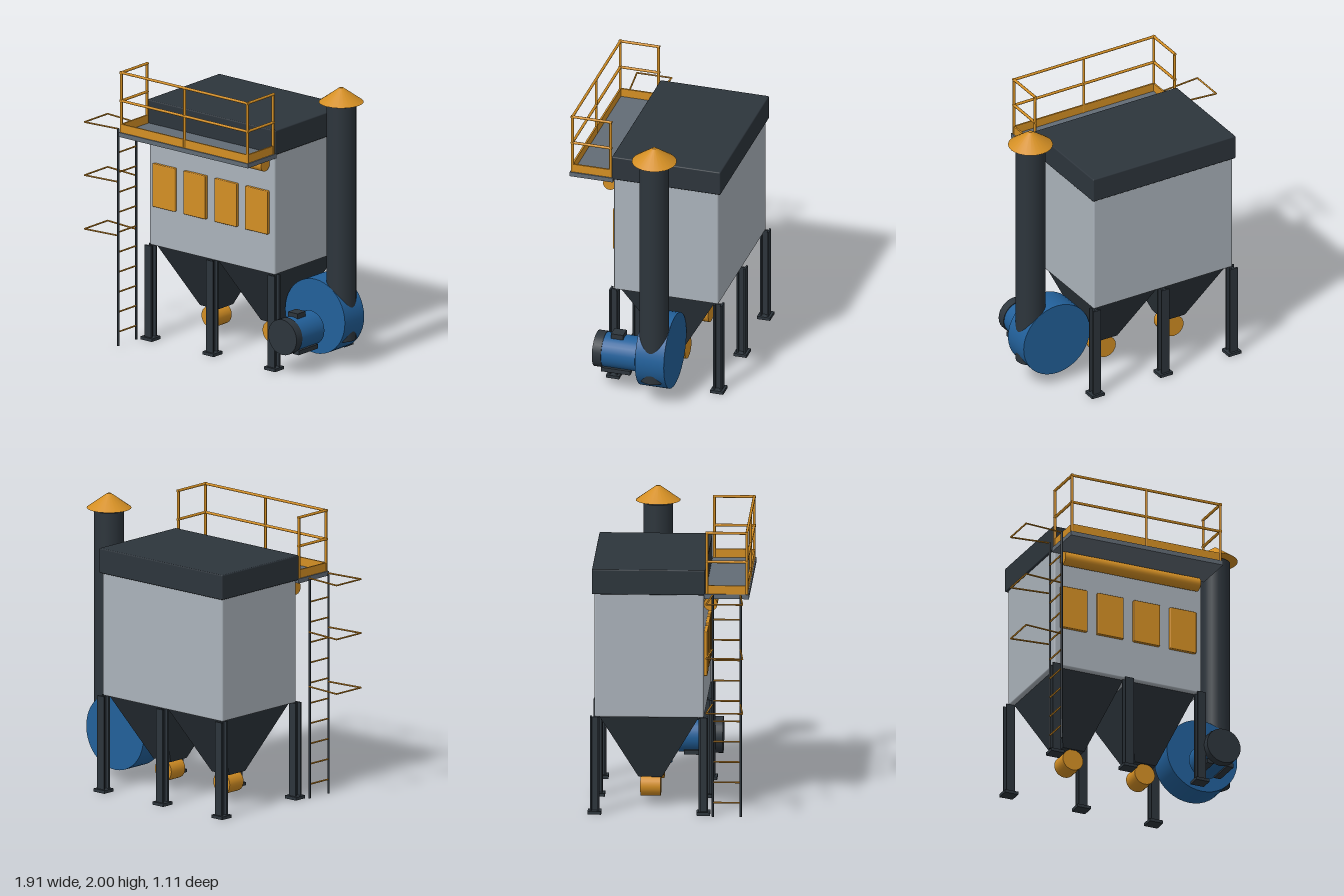
import * as THREE from 'three';
import { RoundedBoxGeometry } from 'three/addons/geometries/RoundedBoxGeometry.js';

const mat = (name, color) => Object.assign(new THREE.MeshStandardMaterial({ color }), { name });

export function createModel() {
  const steel = mat('dark steel', 0x2d353c);
  const panel = mat('light grey panel', 0xabb3bb);
  const orange = mat('safety orange', 0xd48f24);
  const blue = mat('machine blue', 0x22609a);
  const deck = mat('deck grey', 0x626c76);

  const model = new THREE.Group();
  model.name = 'dustCollector';
  const CX = -0.045, CZ = -0.135; // centre of the housing

  const add = (name, geometry, material, x = 0, y = 0, z = 0, parent = model) => {
    const m = new THREE.Mesh(geometry, material);
    m.name = name;
    m.position.set(x, y, z);
    parent.add(m);
    return m;
  };
  // Box given by its limits on each axis
  const box = (name, material, [x0, x1], [y0, y1], [z0, z1], bevel = 0, parent = model) => {
    const s = [x1 - x0, y1 - y0, z1 - z0];
    const g = bevel ? new RoundedBoxGeometry(...s, 2, bevel) : new THREE.BoxGeometry(...s);
    return add(name, g, material, (x0 + x1) / 2, (y0 + y1) / 2, (z0 + z1) / 2, parent);
  };
  // Round bar between two points
  const bar = (name, material, a, b, r, parent = model, sides = 8) => {
    const p = new THREE.Vector3(...a), q = new THREE.Vector3(...b);
    const d = q.clone().sub(p);
    const m = add(name, new THREE.CylinderGeometry(r, r, d.length(), sides), material, 0, 0, 0, parent);
    m.position.copy(p).add(q).multiplyScalar(0.5);
    m.quaternion.setFromUnitVectors(new THREE.Vector3(0, 1, 0), d.normalize());
    return m;
  };
  const group = (name) => {
    const g = new THREE.Group();
    g.name = name;
    model.add(g);
    return g;
  };

  // Housing, roof, access doors and air header
  box('housing', panel, [-0.605, 0.515], [0.68, 1.56], [-0.51, 0.243], 0.012);
  box('roof', steel, [-0.62, 0.53], [1.55, 1.727], [-0.528, 0.253], 0.008);
  for (let i = 0; i < 4; i++) {
    const x = -0.462 + i * 0.276;
    box('accessDoor', orange, [x - 0.1, x + 0.1], [0.968, 1.28], [0.235, 0.266], 0.006);
  }
  bar('airHeader', orange, [-0.562, 1.477, 0.288], [0.468, 1.477, 0.288], 0.047, model, 24);

  // H-section legs on base plates
  for (const x of [-0.597, CX, 0.505]) {
    for (const z of [0.24, -0.51]) {
      const leg = group('leg');
      leg.position.set(x, 0, z);
      for (const s of [-1, 1]) {
        box('flange', steel, [-0.031, 0.031], [0.02, 0.682], [s * 0.025 - 0.006, s * 0.025 + 0.006], 0, leg);
      }
      box('web', steel, [-0.007, 0.007], [0.02, 0.682], [-0.02, 0.02], 0, leg);
      box('basePlate', steel, [-0.05, 0.05], [0, 0.022], [-0.047, 0.047], 0, leg);
    }
  }

  // Tapered hoppers with a rotary valve below each
  for (const x of [-0.318, 0.228]) {
    const g = new THREE.BoxGeometry(0.505, 0.467, 0.69);
    const p = g.attributes.position;
    for (let i = 0; i < p.count; i++) {
      if (p.getY(i) < 0) {
        p.setX(i, Math.sign(p.getX(i)) * 0.081);
        p.setZ(i, Math.sign(p.getZ(i)) * 0.081);
      }
    }
    g.computeVertexNormals();
    add('hopper', g, steel, x, 0.4485, CZ);
    bar('rotaryValve', orange, [x, 0.142, CZ - 0.07], [x, 0.142, CZ + 0.07], 0.077, model, 24);
  }

  // Service platform with guard rail and toe boards
  box('platform', deck, [-0.625, 0.532], [1.528, 1.56], [0.245, 0.555]);
  const rail = group('guardRail');
  const L = -0.61, R = 0.517, F = 0.54, B = 0.265, r = 0.01;
  for (const [x, z] of [[L, F], [CX, F], [R, F], [L, B], [R, B]]) {
    bar('post', orange, [x, 1.56, z], [x, 1.99, z], r, rail);
  }
  for (const y of [1.787, 1.99]) {
    bar('frontRail', orange, [L - r, y, F], [R + r, y, F], r, rail);
    for (const x of [L, R]) bar('sideRail', orange, [x, y, B - r], [x, y, F + r], r, rail);
  }
  box('frontToeBoard', orange, [L, R], [1.56, 1.62], [F - 0.006, F + 0.006], 0, rail);
  for (const x of [L, R]) {
    box('sideToeBoard', orange, [x - 0.006, x + 0.006], [1.56, 1.62], [B, F], 0, rail);
  }

  // Ladder with three safety hoops
  const ladder = group('ladder');
  const LX = -0.67;
  for (const z of [0.308, 0.5]) bar('stile', steel, [LX, 0, z], [LX, 1.565, z], 0.008, ladder);
  for (let i = 0; i < 10; i++) {
    const y = 0.1 + i * 0.1437;
    bar('rung', orange, [LX, y, 0.308], [LX, y, 0.5], 0.006, ladder);
  }
  for (const y of [0.793, 1.18, 1.563]) {
    bar('hoopBack', orange, [-0.952, y, 0.275], [-0.952, y, 0.525], 0.006, ladder);
    bar('hoopSide', orange, [LX, y, 0.304], [-0.952, y, 0.275], 0.006, ladder);
    bar('hoopSide', orange, [LX, y, 0.498], [-0.952, y, 0.525], 0.006, ladder);
  }

  // Fan casing and exhaust stack with rain cap
  const FX = 0.648, SX = 0.797;
  bar('fanCasing', blue, [FX, 0.347, CZ - 0.104], [FX, 0.347, CZ + 0.104], 0.267, model, 40);
  bar('stack', steel, [SX, 0.193, CZ], [SX, 1.88, CZ], 0.103, model, 28);
  bar('capSupport', steel, [SX, 1.87, CZ], [SX, 1.91, CZ], 0.02);
  add('rainCap', new THREE.CylinderGeometry(0.014, 0.155, 0.102, 24), orange, SX, 1.948, CZ);

  // Fan motor
  const motor = group('motor');
  motor.position.set(FX, 0.278, 0);
  bar('shaft', orange, [0, 0, -0.04], [0, 0, 0.03], 0.028, motor, 16);
  bar('motorBody', blue, [0, 0, 0.015], [0, 0, 0.262], 0.122, motor, 28);
  bar('fanCover', steel, [0, 0, 0.258], [0, 0, 0.322], 0.127, motor, 28);
  box('terminalBox', steel, [-0.043, 0.043], [0.09, 0.15], [0.122, 0.21], 0, motor);
  for (const s of [-1, 1]) {
    box('motorFoot', steel, [s * 0.075 - 0.025, s * 0.075 + 0.025], [-0.123, -0.092], [0.055, 0.265], 0, motor);
  }
  return model;
}
